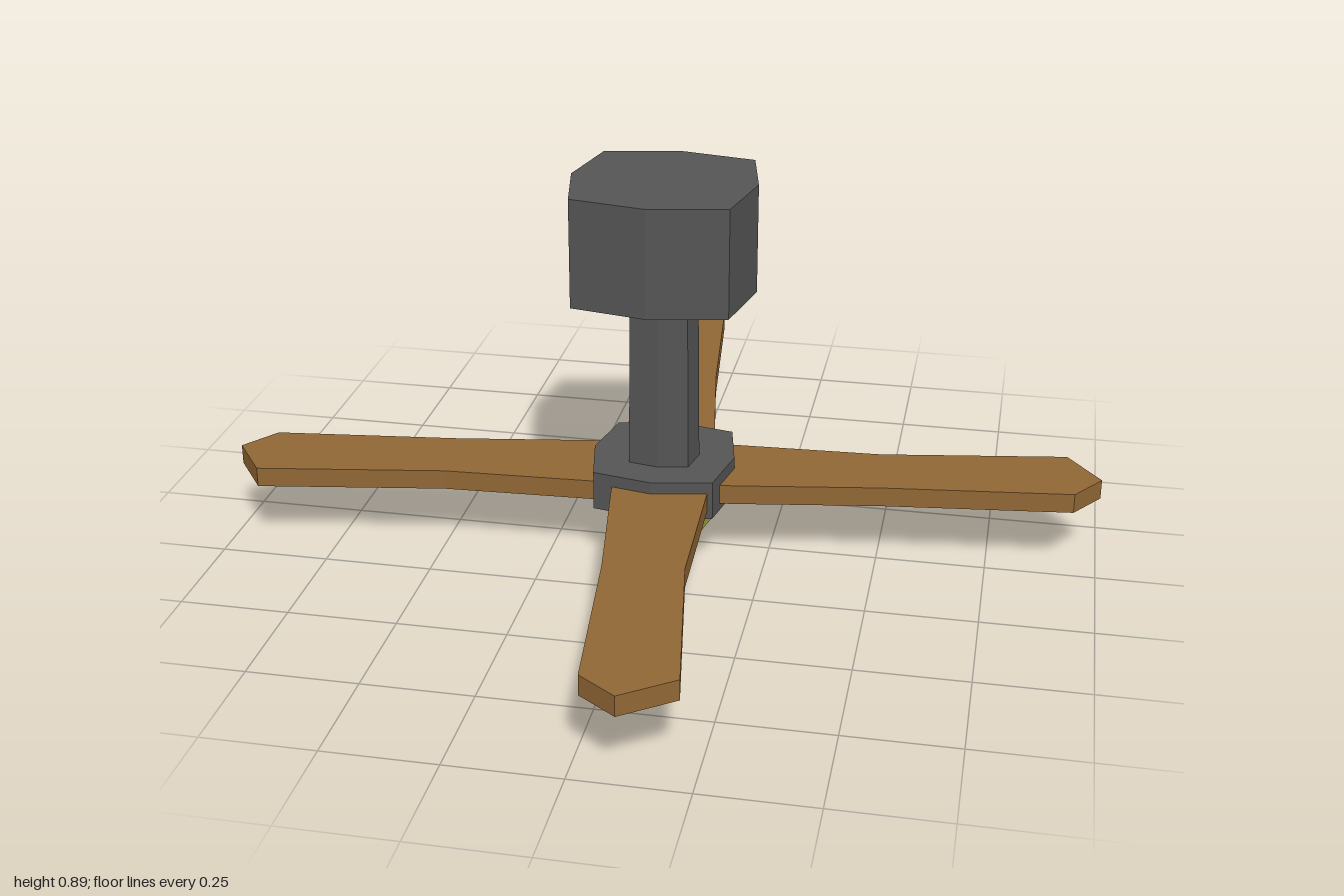
import * as THREE from 'three';

const mat = (color) => new THREE.MeshStandardMaterial({ color, flatShading: true });

// Squarish eight-sided solid from [radius, y] rings, bottom to top
function octagon(name, rings, material) {
  const points = rings.map(([r, y]) => new THREE.Vector2(r, y));
  const geo = new THREE.LatheGeometry(points, 8);
  const p = geo.attributes.position;
  for (let i = 0; i < p.count; i++) {
    const x = p.getX(i), z = p.getZ(i);
    // push the diagonal corners outward
    const k = Math.min(Math.abs(x), Math.abs(z)) > 1e-4 ? 1.18 : 1;
    p.setXYZ(i, x * k, p.getY(i), z * k);
  }
  geo.computeVertexNormals();
  const mesh = new THREE.Mesh(geo, material);
  mesh.name = name;
  return mesh;
}

export function createModel() {
  const model = new THREE.Group();
  model.name = 'ceilingFan';
  const metal = mat(0x555555);
  const wood = mat(0x916735);
  const glass = mat(0xa59a34);

  // Ceiling mount, rod, motor hub and lamp on one axis
  model.add(
    octagon('ceilingMount', [[0, 0.64], [0.21, 0.64], [0.21, 0.89], [0, 0.89]], metal),
    octagon('rod', [[0, 0.2], [0.083, 0.2], [0.078, 0.66], [0, 0.66]], metal),
    octagon('motorHub', [[0, 0.136], [0.165, 0.136], [0.165, 0.227], [0, 0.227]], metal),
    octagon('lamp', [[0, 0], [0.07, 0.013], [0.115, 0.067], [0.115, 0.15], [0, 0.15]], glass)
  );

  // Blade outline: narrow waist, widening to a pointed tip
  const outline = [
    [0.1, -0.1], [0.2, -0.085], [0.51, -0.035], [0.94, 0.015], [1, 0.1],
    [0.92, 0.21], [0.49, 0.14], [0.1, 0.124],
  ].map(([x, y]) => new THREE.Vector2(x, y));
  const bladeGeo = new THREE.ExtrudeGeometry(new THREE.Shape(outline), { depth: 0.046, bevelEnabled: false });
  bladeGeo.rotateX(-Math.PI / 2);

  for (let i = 0; i < 4; i++) {
    const blade = new THREE.Mesh(bladeGeo, wood);
    blade.name = 'blade' + (i + 1);
    blade.position.y = 0.153;
    blade.rotation.y = i * Math.PI / 2;
    model.add(blade);
  }
  return model;
}
